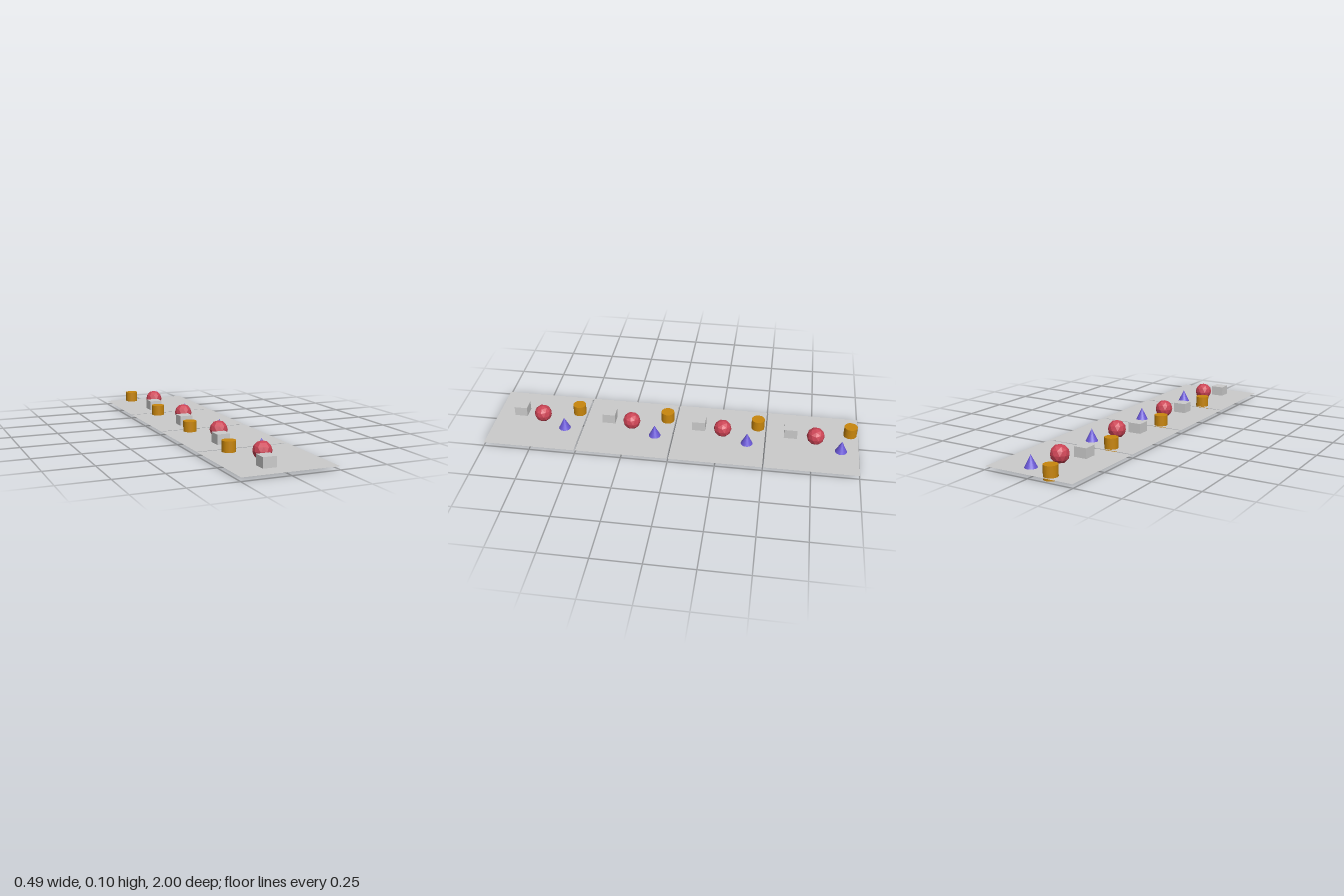
import * as THREE from 'three';

const paint = (color, extra = {}) =>
  new THREE.MeshStandardMaterial({ color, flatShading: true, ...extra });

export function createModel() {
  const model = new THREE.Group();
  model.name = 'tiledShapes';

  const grey = paint(0xcccccc);
  const floor = paint(0xcccccc, { side: THREE.DoubleSide });
  const orange = paint(0xc8860d);
  const red = paint(0xcc4455);
  const purple = paint(0x6a58d6);

  const size = 0.071; // common size of box, cone and cylinder
  const tileSize = 0.494;
  const pitch = 0.502;

  // Faceted ball turned so that a vertex points straight up
  const ballGeometry = new THREE.IcosahedronGeometry(0.048, 1);
  ballGeometry.rotateX(-Math.atan((1 + Math.sqrt(5)) / 2));
  ballGeometry.rotateY(Math.PI / 2);

  // name, geometry, material, position within a tile
  const parts = [
    ['floorTile', new THREE.PlaneGeometry(tileSize, tileSize).rotateX(-Math.PI / 2), floor, [0, 0.018, 0]],
    ['box', new THREE.BoxGeometry(size, size, size), grey, [-0.06, size / 2, 0.117]],
    ['ball', ballGeometry, red, [-0.013, 0.057, -0.016]],
    ['cone', new THREE.ConeGeometry(size / 2, size, 32), purple, [0.052, 0.0465, -0.153]],
    ['cylinder', new THREE.CylinderGeometry(size / 2, size / 2, size, 32), orange, [-0.099, 0.039, -0.204]],
  ];

  // Four identical tiles in a row from back to front
  for (let i = 0; i < 4; i++) {
    const tile = new THREE.Group();
    tile.name = `tile${i + 1}`;
    tile.position.z = (i - 1.5) * pitch;
    for (const [name, geometry, material, position] of parts) {
      const mesh = new THREE.Mesh(geometry, material);
      mesh.name = name;
      mesh.position.set(...position);
      tile.add(mesh);
    }
    model.add(tile);
  }
  return model;
}
